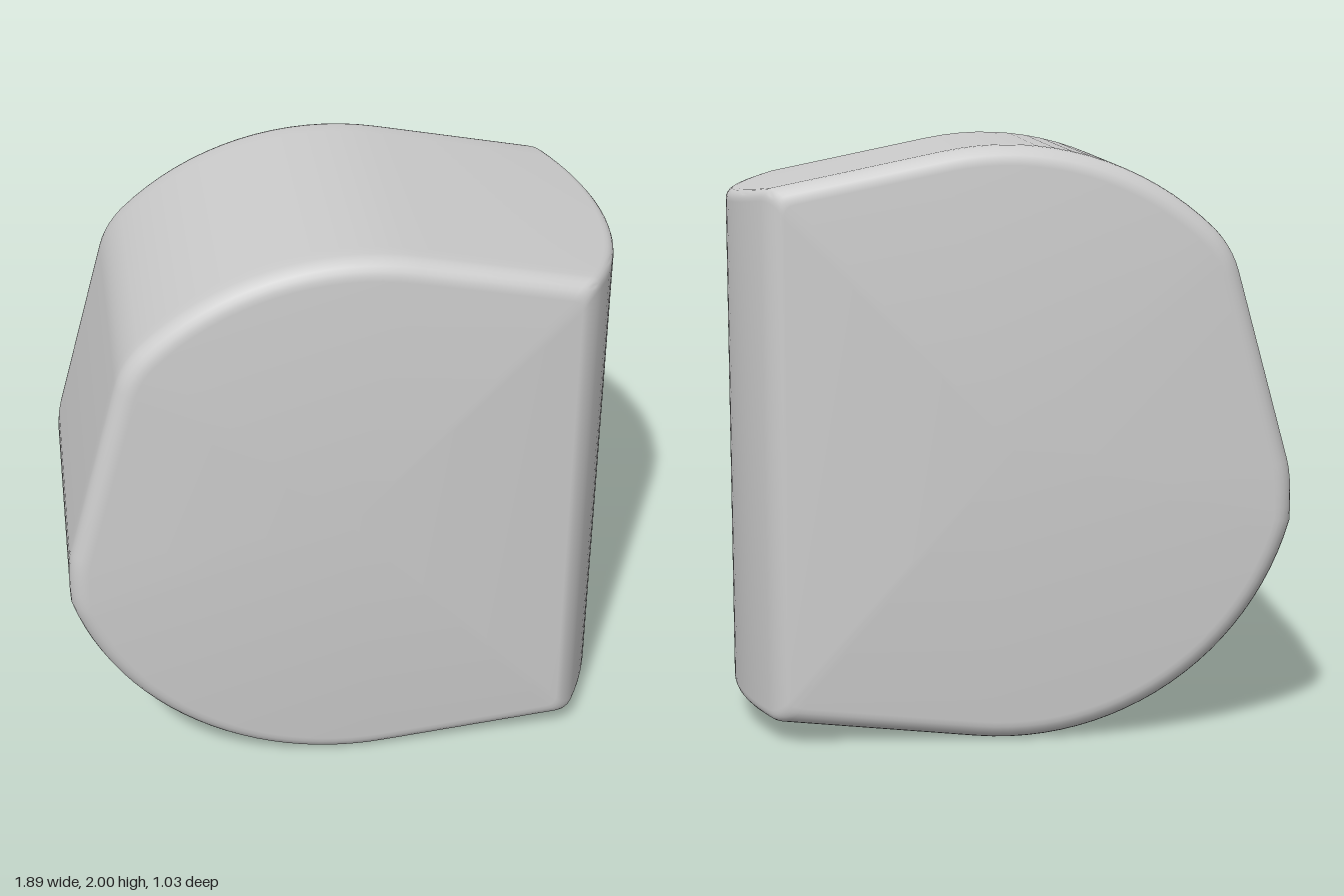
import * as THREE from 'three';
import { toCreasedNormals } from 'three/addons/utils/BufferGeometryUtils.js';

const HALF = 0.515;   // half depth
const ROUND = 0.065;  // radius of the rounded front and back rims
const BULGE = 0.9;    // radius of the curved +x face
const CORNER = 0.035; // fillet where the top and bottom meet the +x face
const rad = THREE.MathUtils.degToRad;
const v = (x, y) => new THREE.Vector2(x, y);
const onCircle = (deg) => v(0.02 + Math.cos(rad(deg)), 1 + Math.sin(rad(deg)));

function bezier(a, b, c, n) {
  return new THREE.QuadraticBezierCurve(a, b, c).getPoints(n);
}

function arc(from, to, n) {
  return Array.from({ length: n + 1 }, (_, i) => onCircle(from + (to - from) * i / n));
}

// Rounded outline, counter-clockwise from the top slope's start to the bottom slope's start
const TOP = 78.3, BOTTOM = 276;
const outline = [
  ...arc(TOP, 134, 16),
  ...bezier(onCircle(134), v(-0.735, 1.656), v(-0.756, 1.58), 5).slice(1),
  ...bezier(v(-0.932, 0.94), v(-0.95, 0.87), onCircle(195.5), 5),
  ...arc(195.5, BOTTOM, 24).slice(1),
];

// Directions of the two straight slopes, pointing to +x
const topDir = v(Math.sin(rad(TOP)), -Math.cos(rad(TOP)));
const bottomDir = v(-Math.sin(rad(BOTTOM)), Math.cos(rad(BOTTOM)));

// Outline moved inward by d and closed by a vertical edge at x = right
function section(d, right) {
  const last = outline.length - 1;
  const pts = outline.map((p, i) => {
    const before = i === 0 ? topDir.clone().negate() : p.clone().sub(outline[i - 1]).normalize();
    const after = i === last ? bottomDir.clone() : outline[i + 1].clone().sub(p).normalize();
    const t = before.clone().add(after).normalize();
    const miter = d / Math.max(0.5, t.dot(after));
    return v(p.x - t.y * miter, p.y + t.x * miter);
  });
  const meet = (p, dir, x) => v(x, p.y + (x - p.x) * dir.y / dir.x);
  const low = meet(pts[last], bottomDir, right);
  const high = meet(pts[0], topDir, right);
  const lowIn = meet(pts[last], bottomDir, right - CORNER);
  const highIn = meet(pts[0], topDir, right - CORNER);
  return [
    ...pts,
    ...bezier(lowIn, low, v(right, low.y + CORNER), 5),
    ...bezier(v(right, high.y - CORNER), high, highIn, 5),
  ];
}

function bodyGeometry() {
  // Depth positions, denser in the rounded rims
  const rim = [], middle = [];
  for (let i = 0; i <= 6; i++) {
    rim.push(HALF - ROUND + ROUND * Math.cos(i / 6 * Math.PI / 2));
  }
  const inner = HALF - ROUND;
  for (let i = 1; i < 20; i++) middle.push(-inner + 2 * inner * i / 20);
  const depths = [...rim.map((z) => -z), ...middle, ...rim.slice().reverse()];

  const pos = [], index = [];
  let count = 0;
  for (const z of depths) {
    const s = Math.min(1, Math.max(0, Math.abs(z) - inner) / ROUND);
    const d = ROUND * (1 - Math.sqrt(1 - s * s));
    const right = 0.94 - BULGE + Math.sqrt(BULGE * BULGE - z * z) - d * 0.5;
    const ring = section(d, right);
    count = ring.length;
    ring.forEach((p) => pos.push(p.x, p.y, z));
  }

  // Walls between sections
  const rows = depths.length;
  for (let k = 0; k < rows - 1; k++) {
    for (let i = 0; i < count; i++) {
      const a = k * count + i, b = k * count + (i + 1) % count;
      index.push(a, b, b + count, a, b + count, a + count);
    }
  }

  // Flat front and back
  const back = pos.length / 3, front = back + 1, top = (rows - 1) * count;
  pos.push(0, 1, -HALF, 0, 1, HALF);
  for (let i = 0; i < count; i++) {
    const j = (i + 1) % count;
    index.push(back, j, i, front, top + i, top + j);
  }

  const geo = new THREE.BufferGeometry();
  geo.setAttribute('position', new THREE.Float32BufferAttribute(pos, 3));
  geo.setIndex(index);
  return toCreasedNormals(geo, 0.6);
}

export function createModel() {
  const group = new THREE.Group();
  group.name = 'roundedBlock';
  const body = new THREE.Mesh(bodyGeometry(), new THREE.MeshStandardMaterial({ color: 0xcccccc }));
  body.name = 'body';
  group.add(body);
  return group;
}
